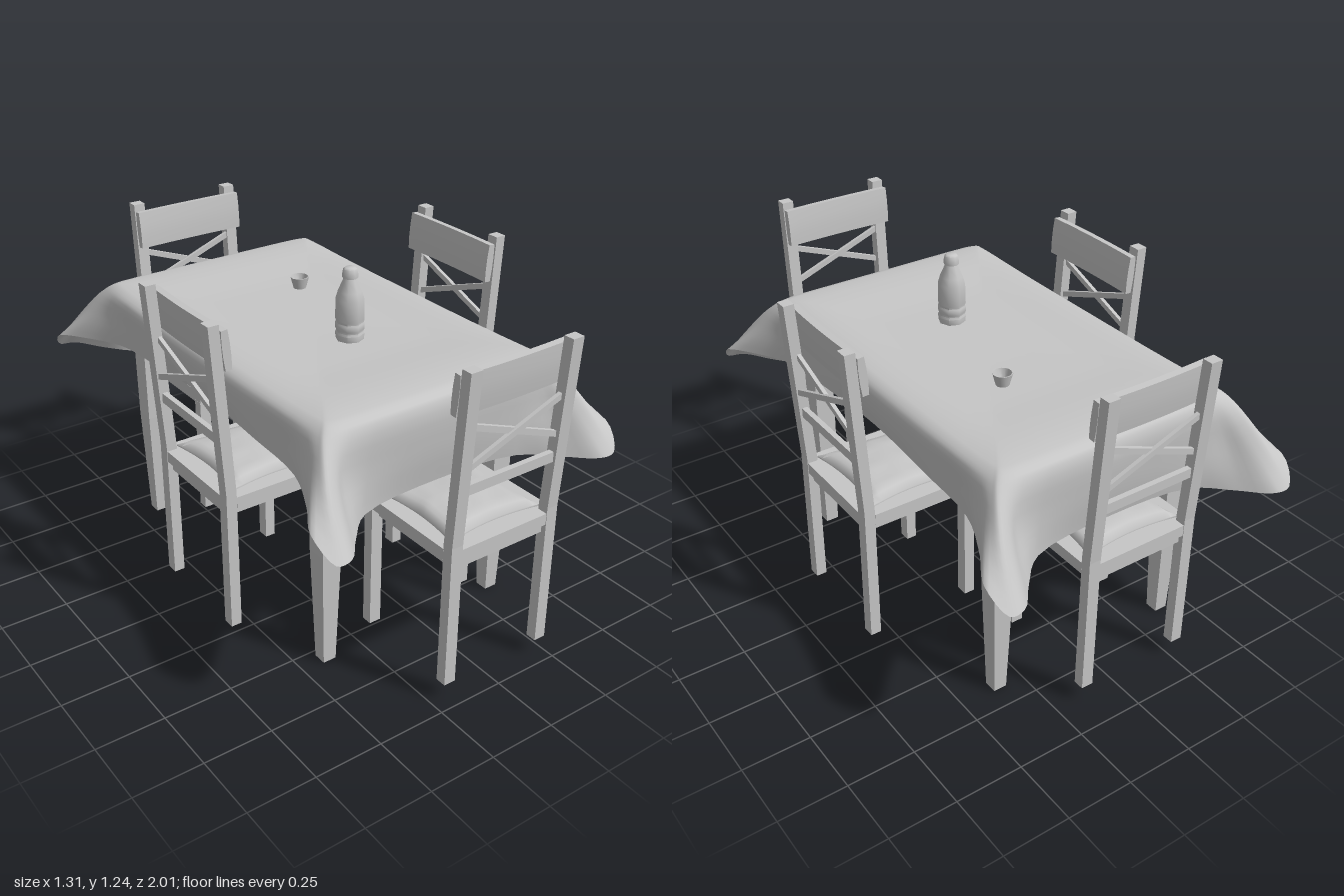
import * as THREE from 'three';
import { toCreasedNormals } from 'three/addons/utils/BufferGeometryUtils.js';

const grey = new THREE.MeshStandardMaterial({ color: 0xc6c6c6 });
grey.name = 'grey';
const greyCloth = grey.clone();
greyCloth.name = 'grey cloth';
greyCloth.side = THREE.DoubleSide;

function add(parent, name, geometry, x = 0, y = 0, z = 0, material = grey) {
  const mesh = new THREE.Mesh(geometry, material);
  mesh.name = name;
  mesh.position.set(x, y, z);
  parent.add(mesh);
  return mesh;
}

// Move every vertex of a geometry by a rule
function deform(geometry, rule, crease = 0.5) {
  const p = geometry.attributes.position;
  const v = new THREE.Vector3();
  for (let i = 0; i < p.count; i++) {
    rule(v.fromBufferAttribute(p, i));
    p.setXYZ(i, v.x, v.y, v.z);
  }
  return toCreasedNormals(geometry, crease);
}

const box = (w, h, d) => new THREE.BoxGeometry(w, h, d);

// Back post: upright to the seat, then leaning back
function postGeometry() {
  return deform(new THREE.BoxGeometry(0.045, 2, 0.04, 1, 2, 1), v => {
    if (v.y > 0.5) v.z -= 0.04;
    v.y = v.y > 0.5 ? 1.22 : v.y < -0.5 ? 0.065 : 0.6;
  }, 0.03);
}

// Soft cushion: flat below, puffed above, with pulled-out corners
function cushionGeometry() {
  return deform(new THREE.BoxGeometry(2, 2, 2, 16, 1, 16), v => {
    const { x: u, z: w } = v;
    const puff = Math.pow(Math.max(0, (1 - u * u) * (1 - w * w)), 0.3);
    const fold = 1 - 0.2 * Math.abs(Math.sin(u * 5 + 0.6) * Math.sin(w * 4)) * Math.hypot(u, w);
    v.x = 0.19 * u * (1 - 0.12 * (1 - w * w));
    v.z = 0.187 * w * (1 - 0.12 * (1 - u * u));
    v.y = v.y > 0 ? 0.012 + 0.037 * puff * fold : 0.006 - 0.005 * puff;
  }, 1);
}

// Chair facing +z, with its back posts at z = 0
function createChair(name, x, z, turn) {
  const chair = new THREE.Group();
  chair.name = name;
  chair.position.set(x, 0, z);
  chair.rotation.y = turn;
  for (const s of [-1, 1]) {
    add(chair, 'backPost', postGeometry(), s * 0.203);
    add(chair, 'frontLeg', box(0.045, 0.475, 0.04), s * 0.203, 0.3025, 0.405);
    add(chair, 'sideRail', box(0.026, 0.037, 0.38), s * 0.183, 0.5205, 0.203);
    const brace = add(chair, 'crossBrace', box(0.4, 0.021, 0.014), 0, 0.95, -0.022 + s * 0.004);
    brace.rotation.z = s * 0.36;
  }
  add(chair, 'rearRail', box(0.37, 0.037, 0.026), 0, 0.5205, 0.012);
  add(chair, 'frontRail', box(0.37, 0.037, 0.026), 0, 0.5205, 0.39);
  add(chair, 'seat', box(0.45, 0.042, 0.405), 0, 0.56, 0.2235);
  add(chair, 'seatRearEdge', box(0.362, 0.042, 0.04), 0, 0.56, 0.002);
  add(chair, 'cushion', cushionGeometry(), 0, 0.58, 0.213);
  add(chair, 'lowerBackRail', box(0.37, 0.036, 0.02), 0, 0.797, -0.013);

  // Slightly bowed top slat
  const slat = deform(new THREE.BoxGeometry(0.447, 0.142, 0.03, 10, 3, 1), v => {
    const round = Math.abs(v.y) > 0.06 ? 0.8 : 1;
    v.z = v.z * round + 0.006 * (v.x / 0.22) ** 2 - 0.003;
  }, 0.7);
  add(chair, 'topSlat', slat, 0, 1.124, 0.002).rotation.x = -0.085;
  return chair;
}

// Square table leg, tapering below its middle
function tableLegGeometry() {
  return deform(new THREE.BoxGeometry(1, 2, 1, 1, 2, 1), v => {
    const [y, w] = v.y > 0.5 ? [0.95, 0.08] : v.y < -0.5 ? [0, 0.05] : [0.44, 0.075];
    v.set(v.x * w, y, v.z * w);
  }, 0.02);
}

// Tablecloth: rings swept around the table, with a flared fold at each corner
function clothGeometry() {
  const a = 0.478, b = 0.74;
  // From side middle to end middle, measured from the corner:
  // edge x, z; middle x, z, y; hem x, z, y
  const stations = [
    [0, -b, 0.005, -b, 0.87, -0.01, -b, 0.795],
    [0, -0.4, 0.005, -0.4, 0.87, 0, -0.4, 0.785],
    [0, -0.2, 0.005, -0.18, 0.86, 0.008, -0.15, 0.768],
    [0, -0.1, 0.03, -0.06, 0.855, 0.078, 0.02, 0.757],
    [-0.003, -0.035, 0.062, 0.035, 0.85, 0.14, 0.13, 0.745],
    [-0.008, -0.012, 0.05, 0.085, 0.845, 0.105, 0.212, 0.667],
    [-0.04, -0.002, 0.005, 0.075, 0.83, 0.045, 0.206, 0.66],
    [-0.1, 0, -0.05, 0.035, 0.81, -0.042, 0.11, 0.65],
    [-0.2, 0, -0.165, 0.006, 0.8, -0.155, 0.008, 0.645],
    [-a, 0, -a, 0, 0.8, -a, -0.026, 0.645],
  ];
  const rows = [[], [], [], [], []];
  const quadrants = [[1, 1, 0], [-1, 1, 1], [-1, -1, 0], [1, -1, 1]];
  for (const [sx, sz, reversed] of quadrants) {
    for (let i = 0; i < 9; i++) {
      const [ex, ez, mx, mz, my, hx, hz, hy] = stations[reversed ? 9 - i : i];
      const put = (row, x, y, z) => rows[row].push(new THREE.Vector3(sx * x, y, sz * z));
      const x = a + ex, z = b + ez;
      const lift = 0.012 * (z / b) ** 4;
      put(0, x * 0.45, 0.973, z * 0.45);
      put(1, x * 0.91, 0.972 + lift, z * 0.93);
      put(2, x, 0.943 + lift, z);
      put(3, a + mx, my, b + mz);
      put(4, a + hx, hy, b + hz);
    }
  }
  const rings = rows.map(points => new THREE.CatmullRomCurve3(points, true));
  const around = 144, down = 16;
  const positions = [], index = [];
  for (let j = 0; j < around; j++) {
    const drop = new THREE.CatmullRomCurve3(rings.map(ring => ring.getPoint(j / around)));
    for (let i = 0; i <= down; i++) positions.push(...drop.getPoint(i / down).toArray());
  }
  const at = (i, j) => (j % around) * (down + 1) + i;
  const centre = around * (down + 1);
  positions.push(0, 0.973, 0);
  for (let j = 0; j < around; j++) {
    index.push(centre, at(0, j + 1), at(0, j));
    for (let i = 0; i < down; i++) {
      index.push(at(i, j), at(i, j + 1), at(i + 1, j));
      index.push(at(i + 1, j), at(i, j + 1), at(i + 1, j + 1));
    }
  }
  const geometry = new THREE.BufferGeometry();
  geometry.setAttribute('position', new THREE.Float32BufferAttribute(positions, 3));
  geometry.setIndex(index);
  geometry.computeVertexNormals();
  return geometry;
}

function lathe(profile, sides) {
  const points = profile.map(([r, y]) => new THREE.Vector2(r, y));
  return toCreasedNormals(new THREE.LatheGeometry(points, sides), 0.9);
}

export function createModel() {
  const model = new THREE.Group();
  model.name = 'diningSet';

  // Table
  const table = new THREE.Group();
  table.name = 'table';
  table.position.set(-0.023, 0, -0.05);
  model.add(table);
  for (const sx of [-1, 1]) {
    for (const sz of [-1, 1]) add(table, 'tableLeg', tableLegGeometry(), sx * 0.371, 0, sz * 0.597);
  }
  add(table, 'tableTop', box(0.9, 0.035, 1.42), 0, 0.935, 0);
  add(table, 'tablecloth', clothGeometry(), 0, 0, 0, greyCloth);

  // Chairs
  model.add(
    createChair('frontChair', 0.017, 0.94, Math.PI),
    createChair('backChair', -0.067, -0.864, 0),
    createChair('rightChair', -0.594, 0.065, Math.PI / 2),
    createChair('leftChair', 0.592, -0.022, -Math.PI / 2),
  );

  // Bottle with a grooved base and a domed cap
  add(model, 'bottle', lathe([
    [0, 0], [0.05, 0], [0.052, 0.022], [0.048, 0.03], [0.052, 0.04], [0.052, 0.058], [0.049, 0.064],
    [0.052, 0.075], [0.05, 0.15], [0.042, 0.178], [0.026, 0.215], [0.022, 0.228],
  ], 8), -0.02, 0.973, 0.165);
  add(model, 'bottleCap', lathe([
    [0.018, 0.222], [0.028, 0.226], [0.028, 0.24], [0.024, 0.258], [0.018, 0.263], [0, 0.263],
  ], 8), -0.02, 0.973, 0.165);

  // Open cup
  add(model, 'cup', lathe([
    [0, 0], [0.024, 0], [0.036, 0.046], [0.032, 0.046], [0.021, 0.008], [0, 0.008],
  ], 14), 0.1, 0.972, -0.32);

  return model;
}
